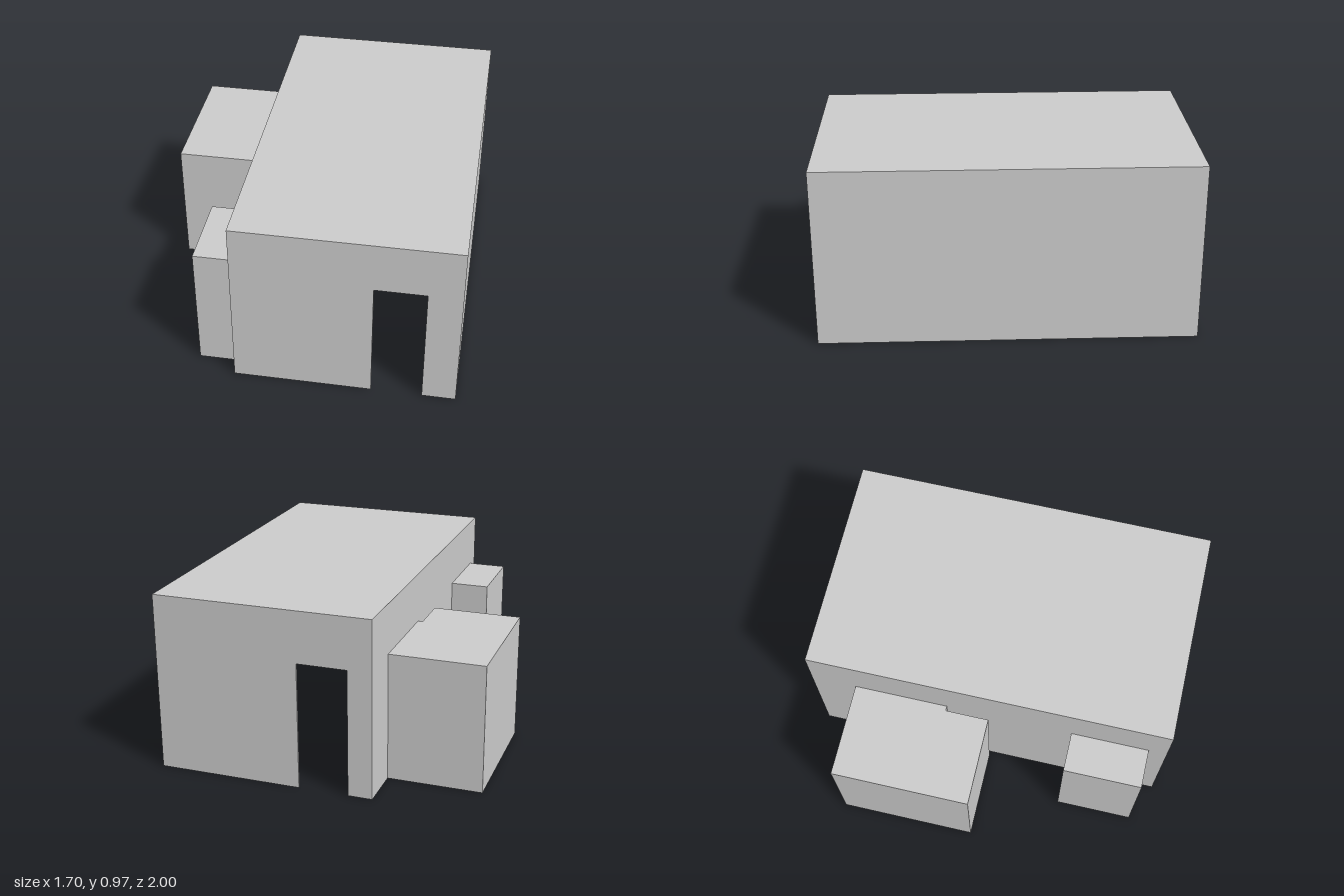
import * as THREE from 'three';

const T = 0.01; // shell thickness
const DOOR_H = 0.69;
const material = new THREE.MeshStandardMaterial({ color: 0xcccccc, flatShading: true });

function addPart(group, name, geometry) {
  const mesh = new THREE.Mesh(geometry, material);
  mesh.name = name;
  group.add(mesh);
}

// Outline of a wall from a to b, notched from the ground up at each [start, end] opening
function wallShape(a, b, h, openings) {
  const s = new THREE.Shape();
  s.moveTo(a, 0);
  for (const [p, q] of openings) {
    s.lineTo(p, 0);
    s.lineTo(p, DOOR_H);
    s.lineTo(q, DOOR_H);
    s.lineTo(q, 0);
  }
  s.lineTo(b, 0);
  s.lineTo(b, h);
  s.lineTo(a, h);
  s.closePath();
  return s;
}

const extrude = (shape) => new THREE.ExtrudeGeometry(shape, { depth: T, bevelEnabled: false });

// Wall running along x, filling z..z+T
function wallX(group, name, x0, x1, z, h, openings = []) {
  addPart(group, name, extrude(wallShape(x0, x1, h - T, openings)).translate(0, 0, z));
}

// Wall running along z, filling x..x+T
function wallZ(group, name, z0, z1, x, h, openings = []) {
  const g = extrude(wallShape(z0, z1, h - T, openings));
  addPart(group, name, g.rotateY(-Math.PI / 2).translate(x + T, 0, 0));
}

// Flat roof over an [x, z] outline, with its top at h
function roof(group, name, outline, h) {
  const shape = new THREE.Shape(outline.map(([x, z]) => new THREE.Vector2(x, z)));
  addPart(group, name, extrude(shape).rotateX(Math.PI / 2).translate(0, h, 0));
}

function room(parent, name) {
  const g = new THREE.Group();
  g.name = name;
  parent.add(g);
  return g;
}

export function createModel() {
  const model = new THREE.Group();
  model.name = 'building';
  const X0 = -0.336, X1 = 0.848; // main hall sides
  const H = 0.97, AH = 0.7; // hall and annex heights

  // Main hall, open underneath
  const hall = room(model, 'mainHall');
  wallX(hall, 'frontWall', X0, X1, 1 - T, H, [[0.4, 0.67]]);
  wallX(hall, 'backWall', X0, X1, -1, H, [[-0.205, 0.065]]);
  wallZ(hall, 'leftWall', -1 + T, 1 - T, X1 - T, H);
  wallZ(hall, 'rightWall', -1 + T, 1 - T, X0, H, [[-0.74, -0.24], [0.48, 0.89]]);
  roof(hall, 'hallRoof', [[X0, -1], [X1, -1], [X1, 1], [X0, 1]], H);

  // Large annex with a narrow gap beside the hall
  const L = -0.848, G = -0.362, Z0 = -0.75, ZG = -0.23, Z1 = 0.01;
  const large = room(model, 'largeAnnex');
  wallX(large, 'largeAnnexBackWall', L, X0, Z0, AH);
  wallX(large, 'largeAnnexFrontWall', L, G, Z1 - T, AH);
  wallZ(large, 'largeAnnexOuterWall', Z0 + T, Z1 - T, L, AH);
  wallZ(large, 'largeAnnexGapWall', ZG, Z1 - T, G - T, AH);
  wallX(large, 'largeAnnexReturnWall', G - T, X0, ZG - T, AH);
  roof(large, 'largeAnnexRoof', [[L, Z0], [X0, Z0], [X0, ZG], [G, ZG], [G, Z1], [L, Z1]], AH);

  // Small annex
  const S = -0.55, S0 = 0.47, S1 = 0.9;
  const small = room(model, 'smallAnnex');
  wallX(small, 'smallAnnexBackWall', S, X0, S0, AH);
  wallX(small, 'smallAnnexFrontWall', S, X0, S1 - T, AH);
  wallZ(small, 'smallAnnexOuterWall', S0 + T, S1 - T, S, AH);
  roof(small, 'smallAnnexRoof', [[S, S0], [X0, S0], [X0, S1], [S, S1]], AH);

  return model;
}
